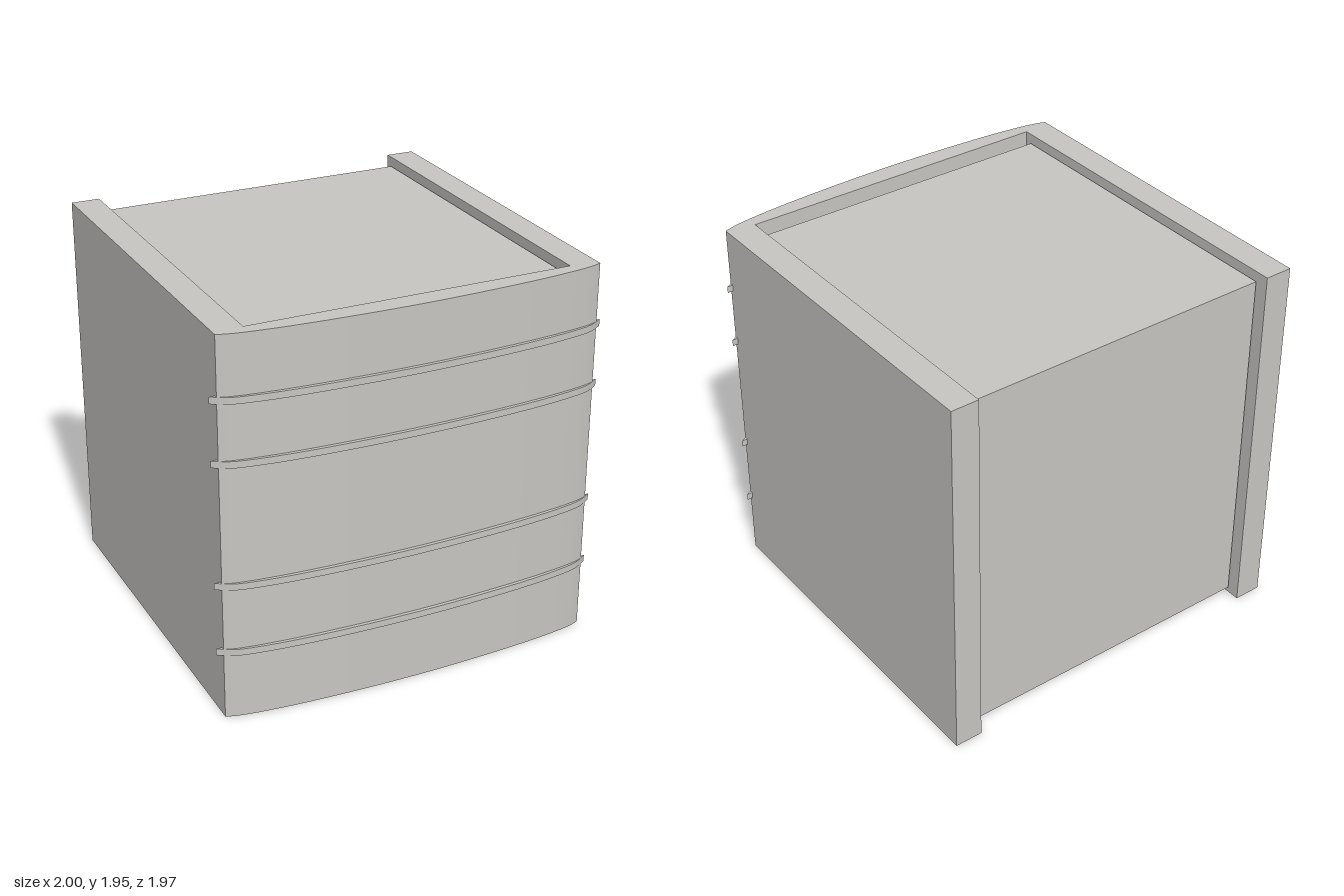
import * as THREE from 'three';

const grey = new THREE.MeshStandardMaterial({ color: 0xc8c6c2 });
grey.name = 'light grey';

// Mirrors half of a bowed front edge ([x, z] from the centre outwards) and smooths it, running -x to +x
function bow(half) {
  const pts = half.map(([x, z]) => new THREE.Vector2(x, z));
  const left = pts.slice(1).reverse().map((p) => new THREE.Vector2(-p.x, p.y));
  return new THREE.SplineCurve([...left, ...pts]).getPoints(32);
}

// Extrudes a plan outline (x, z) upwards from height y
function slab(name, outline, y, height) {
  const geo = new THREE.ExtrudeGeometry(new THREE.Shape(outline), { depth: height, bevelEnabled: false });
  geo.rotateX(Math.PI / 2).translate(0, y + height, 0);
  const mesh = new THREE.Mesh(geo, grey);
  mesh.name = name;
  return mesh;
}

export function createModel() {
  const model = new THREE.Group();
  model.name = 'cabinet';
  const v = (x, z) => new THREE.Vector2(x, z);

  // U-shaped casing: two side walls and a bowed front panel, open at the back
  const front = bow([[0, 0.965], [0.3, 0.959], [0.6, 0.943], [0.8, 0.923], [0.91, 0.905], [0.97, 0.886]]);
  model.add(slab('casing', [
    ...front,
    v(0.97, -0.985), v(0.825, -0.985), v(0.825, 0.855),
    v(-0.825, 0.855), v(-0.825, -0.985), v(-0.97, -0.985),
  ], 0, 1.95));

  // Inner body, set in from the casing on every side
  const body = new THREE.Mesh(new THREE.BoxGeometry(1.63, 1.865, 1.73), grey);
  body.name = 'innerBody';
  body.position.set(0, 0.9725, -0.06);
  model.add(body);

  // Four thin trim strips following the bowed front and overhanging its ends
  const outer = bow([[0, 0.983], [0.3, 0.977], [0.6, 0.96], [0.8, 0.937], [0.92, 0.912], [1, 0.867]]);
  const inner = bow([[0, 0.955], [0.3, 0.949], [0.6, 0.933], [0.8, 0.913], [0.91, 0.893], [0.965, 0.867]]);
  [0.355, 0.705, 1.327, 1.638].forEach((y, i) => {
    model.add(slab(`trimStrip${i + 1}`, [...outer, ...inner.slice().reverse()], y - 0.017, 0.034));
  });

  return model;
}
